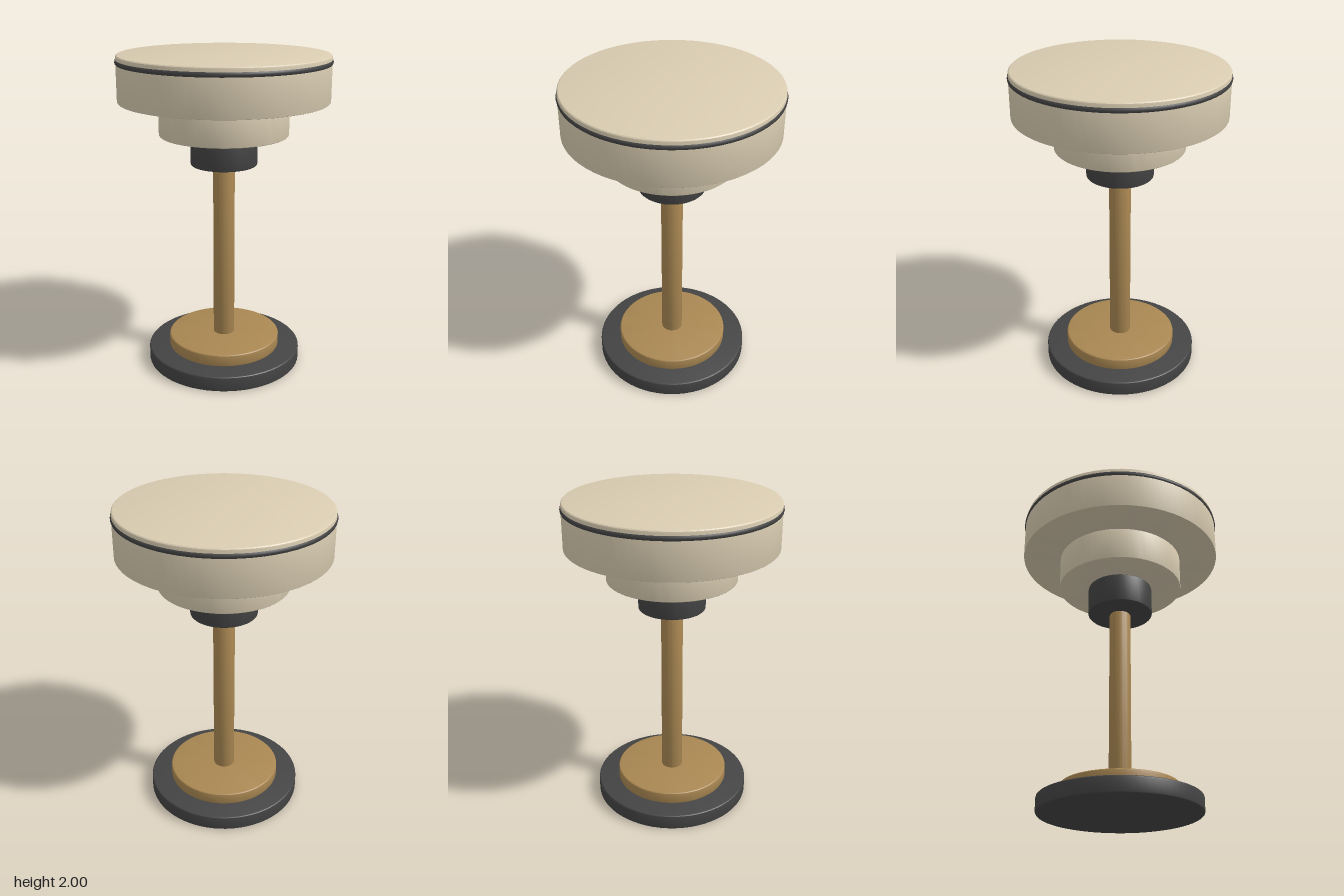
import * as THREE from 'three';
import { toCreasedNormals } from 'three/addons/utils/BufferGeometryUtils.js';

const material = (name, color) => {
  const m = new THREE.MeshStandardMaterial({ color });
  m.name = name;
  return m;
};

// Solid disc from y0 to y1 with rounded rims at bottom and top
function disc(radius, y0, y1, bevelBottom, bevelTop) {
  const points = [new THREE.Vector2(0, y0)];
  const steps = 3;
  for (let i = 0; i <= steps; i++) {
    const a = (i / steps) * Math.PI / 2;
    points.push(new THREE.Vector2(radius - bevelBottom * (1 - Math.sin(a)), y0 + bevelBottom * (1 - Math.cos(a))));
  }
  for (let i = 0; i <= steps; i++) {
    const a = (i / steps) * Math.PI / 2;
    points.push(new THREE.Vector2(radius - bevelTop * (1 - Math.cos(a)), y1 - bevelTop * (1 - Math.sin(a))));
  }
  points.push(new THREE.Vector2(0, y1));
  return toCreasedNormals(new THREE.LatheGeometry(points, 64), 0.35);
}

export function createModel() {
  const group = new THREE.Group();
  const cream = material('cream', 0xd9ccb1);
  const brass = material('brass', 0xa98752);
  const charcoal = material('charcoal', 0x444444);

  const add = (name, geometry, mat) => {
    const mesh = new THREE.Mesh(geometry, mat);
    mesh.name = name;
    group.add(mesh);
    return mesh;
  };

  // Base and stem
  add('basePlate', disc(0.495, 0, 0.1, 0.012, 0.012), charcoal);
  add('baseDisc', disc(0.36, 0.1, 0.177, 0.006, 0.012), brass);
  add('stem', disc(0.068, 0.172, 1.318, 0.01, 0.01), brass);

  // Collar and stepped head
  add('collar', disc(0.208, 1.318, 1.508, 0.01, 0.01), charcoal);
  add('lowerHead', disc(0.4, 1.508, 1.722, 0.008, 0.005), cream);
  add('upperHead', disc(0.645, 1.72, 2, 0.004, 0.014), cream);

  // Rim band around the top
  const rim = add('rimBand', new THREE.TorusGeometry(0.63, 0.021, 12, 64), charcoal);
  rim.rotation.x = Math.PI / 2;
  rim.position.y = 1.958;

  return group;
}
